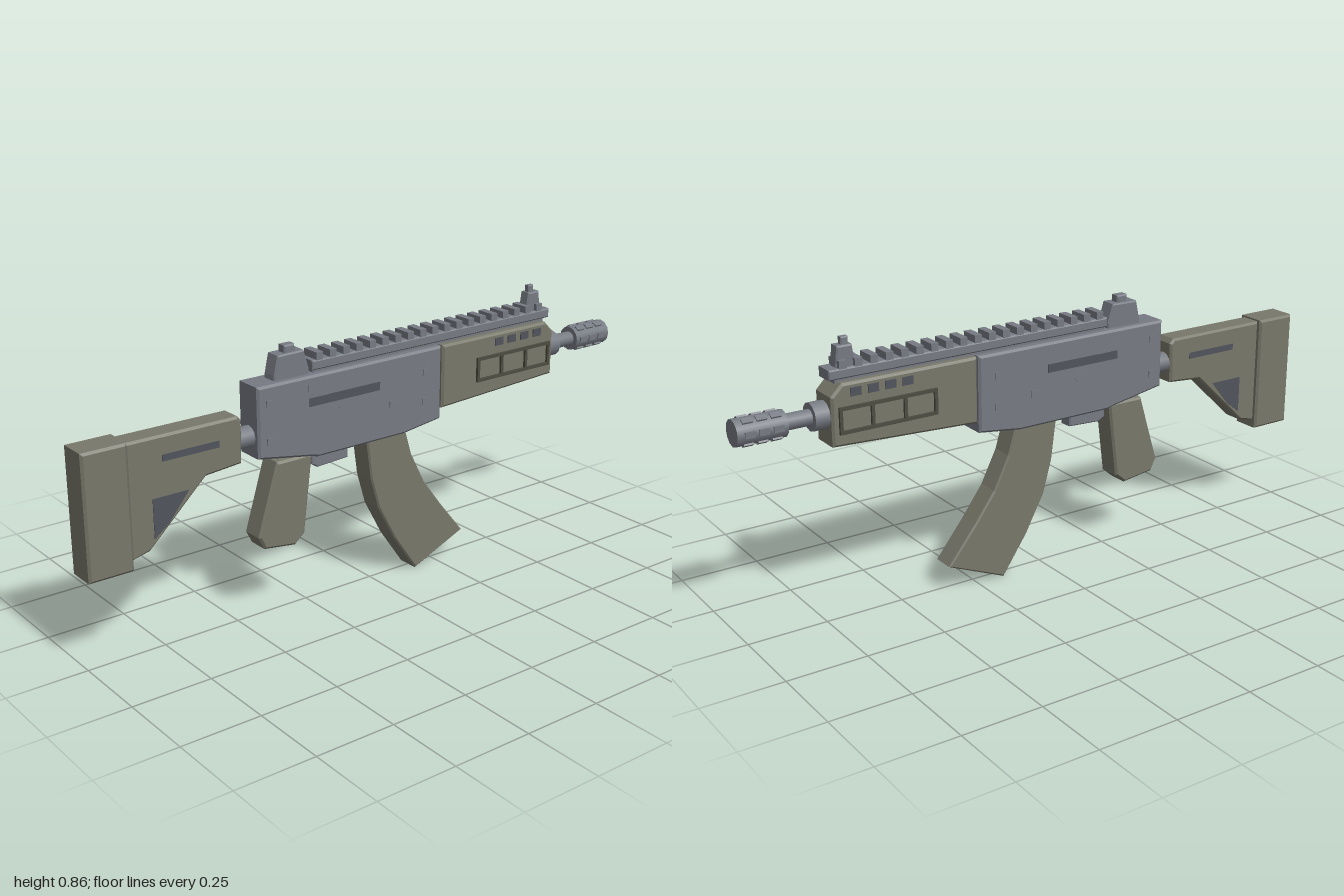
import * as THREE from 'three';

export function createModel() {
  const model = new THREE.Group();
  const paint = (name, color) => {
    const m = new THREE.MeshStandardMaterial({ color });
    m.name = name;
    return m;
  };
  const olive = paint('olive', 0x77776a);
  const steel = paint('steel grey', 0x767a82);
  const dark = paint('dark grey', 0x50545c);
  const darkOlive = paint('dark olive', 0x4c4c42);

  const add = (name, geometry, material, x = 0, y = 0, z = 0) => {
    const mesh = new THREE.Mesh(geometry, material);
    mesh.name = name;
    mesh.position.set(x, y, z);
    model.add(mesh);
    return mesh;
  };

  // Side outline given as [z, y] points, extruded across x with bevelled edges
  const slab = (name, points, width, material, bevel = 0.007, x = 0) => {
    const shape = new THREE.Shape(points.map(([z, y]) => new THREE.Vector2(z, y)));
    const geometry = new THREE.ExtrudeGeometry(shape, {
      depth: width - 2 * bevel,
      bevelEnabled: bevel > 0,
      bevelThickness: bevel,
      bevelSize: bevel,
      bevelOffset: -bevel,
      bevelSegments: 1,
    });
    geometry.translate(0, 0, bevel - width / 2).rotateY(-Math.PI / 2);
    return add(name, geometry, material, x);
  };
  const rect = (z0, z1, y0, y1) => [[z0, y0], [z1, y0], [z1, y1], [z0, y1]];

  // Thin plate standing proud of both flanks
  const plates = (name, points, surface, proud, material) => {
    for (const side of [-1, 1]) {
      slab(name, points, proud + 0.002, material, 0, side * (surface + proud / 2 - 0.001));
    }
  };
  const tube = (name, r, z0, z1, y, material) => {
    const geometry = new THREE.CylinderGeometry(r, r, Math.abs(z1 - z0), 12);
    add(name, geometry.rotateX(Math.PI / 2), material, 0, y, (z0 + z1) / 2);
  };

  // Stock
  slab('buttPad', rect(0.86, 1, 0.285, 0.665), 0.1, olive);
  slab('stock', [[0.862, 0.66], [0.5, 0.66], [0.487, 0.645], [0.49, 0.515],
    [0.61, 0.505], [0.8, 0.325], [0.862, 0.31]], 0.076, olive);
  plates('stockCutout', [[0.787, 0.48], [0.67, 0.48], [0.74, 0.395], [0.787, 0.36]], 0.038, 0.002, dark);
  plates('stockSlot', rect(0.565, 0.75, 0.583, 0.603), 0.038, 0.002, dark);
  tube('stockTube', 0.033, 0.43, 0.5, 0.578, steel);

  // Receiver
  slab('receiver', [[0.44, 0.735], [0.44, 0.517], [0.25, 0.484], [0.23, 0.478],
    [-0.1, 0.478], [-0.245, 0.497], [-0.245, 0.735]], 0.1, steel);
  plates('receiverSlot', rect(0, 0.26, 0.642, 0.668), 0.05, 0.003, dark);
  plates('boltLever', [[0.264, 0.71], [0.264, 0.687], [0.11, 0.59], [0.095, 0.61]], 0.05, 0.002, steel);
  for (const [z, y] of [[0.4, 0.68], [0.4, 0.565], [-0.05, 0.585], [-0.18, 0.57], [-0.18, 0.665]]) {
    plates('pin', rect(z - 0.011, z + 0.011, y - 0.011, y + 0.011), 0.05, 0.003, steel);
  }
  slab('lowerBlock', [[0.235, 0.485], [0.235, 0.447], [0.215, 0.434], [0.1, 0.44], [0.1, 0.485]],
    0.05, steel, 0.004);

  // Grip and curved magazine
  slab('grip', [[0.37, 0.49], [0.243, 0.49], [0.275, 0.24], [0.31, 0.21],
    [0.42, 0.225], [0.44, 0.265]], 0.08, olive);
  slab('magazine', [[0.04, 0.485], [-0.112, 0.485], [-0.137, 0.4], [-0.19, 0.295],
    [-0.26, 0.2], [-0.354, 0.083], [-0.158, 0], [-0.072, 0.125], [-0.008, 0.245],
    [0.022, 0.35]], 0.08, olive, 0.005);

  // Handguard with side frames and vents
  slab('handguard', [[-0.25, 0.735], [-0.25, 0.53], [-0.725, 0.553], [-0.725, 0.7],
    [-0.69, 0.735]], 0.1, olive);
  for (const y of [0.594, 0.664]) {
    plates('handguardFrame', rect(-0.7, -0.395, y - 0.005, y + 0.005), 0.05, 0.008, darkOlive);
  }
  for (const z of [-0.395, -0.495, -0.6, -0.7]) {
    plates('handguardFrame', rect(z - 0.005, z + 0.005, 0.589, 0.669), 0.05, 0.008, darkOlive);
  }
  for (let i = 0; i < 4; i++) {
    const z = -0.484 - i * 0.055;
    plates('handguardVent', rect(z - 0.017, z + 0.017, 0.695, 0.72), 0.05, 0.003, dark);
  }

  // Barrel and ribbed muzzle
  const barrelY = 0.64;
  tube('barrelCollar', 0.042, -0.72, -0.77, barrelY, steel);
  tube('barrel', 0.024, -0.76, -0.86, barrelY, steel);
  tube('muzzle', 0.04, -0.85, -1, barrelY, steel);
  for (let ring = 0; ring < 3; ring++) {
    for (let i = 0; i < 6; i++) {
      const a = (i * Math.PI) / 3;
      const rib = add('muzzleRib', new THREE.BoxGeometry(0.008, 0.018, 0.03), steel,
        Math.cos(a) * 0.039, barrelY + Math.sin(a) * 0.039, -0.88 - ring * 0.042);
      rib.rotation.z = a;
    }
  }

  // Top rail
  slab('rail', rect(-0.72, 0.235, 0.743, 0.773), 0.066, steel, 0.004);
  slab('railFoot', rect(-0.7, 0.23, 0.73, 0.745), 0.05, steel, 0);
  for (let i = 0; i < 19; i++) {
    add('railTooth', new THREE.BoxGeometry(0.062, 0.026, 0.024), steel, 0, 0.782, 0.207 - i * 0.049);
  }

  // Sights
  slab('rearSight', [[0.367, 0.73], [0.365, 0.75], [0.352, 0.808], [0.26, 0.81],
    [0.242, 0.75], [0.242, 0.73]], 0.054, steel, 0.004);
  slab('rearSightCap', rect(0.284, 0.322, 0.8, 0.831), 0.032, steel, 0.004);
  slab('frontSight', [[-0.628, 0.765], [-0.692, 0.765], [-0.685, 0.834], [-0.638, 0.834]],
    0.038, steel, 0.004);
  slab('frontSightPost', rect(-0.668, -0.645, 0.825, 0.856), 0.02, steel, 0.003);

  return model;
}
